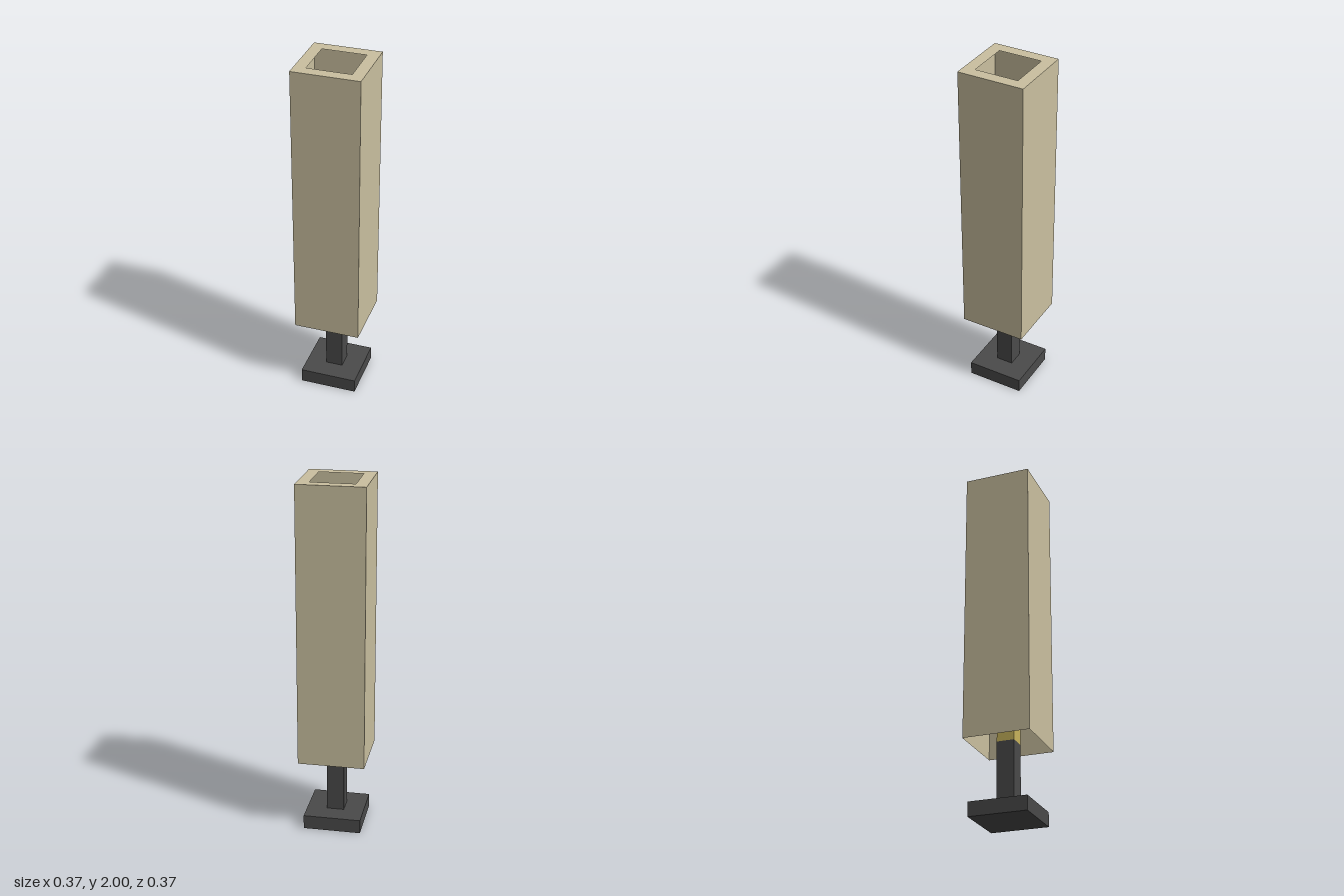
import * as THREE from 'three';

const metal = new THREE.MeshStandardMaterial({ color: 0x4a4a4a });
metal.name = 'darkMetal';
const glow = new THREE.MeshStandardMaterial({ color: 0xc9b45c });
glow.name = 'goldGlow';
const cloth = new THREE.MeshStandardMaterial({ color: 0xcac0a0, side: THREE.DoubleSide });
cloth.name = 'beigeShade';

// Square upright block between two heights
function block(name, width, bottom, top, material) {
  const mesh = new THREE.Mesh(new THREE.BoxGeometry(width, top - bottom, width), material);
  mesh.position.y = (bottom + top) / 2;
  mesh.name = name;
  return mesh;
}

// Square outline centred on the origin
function square(Type, width) {
  const h = width / 2;
  return new Type([[-h, -h], [h, -h], [h, h], [-h, h]].map(([x, y]) => new THREE.Vector2(x, y)));
}

export function createModel() {
  const model = new THREE.Group();
  model.name = 'lamp';
  const shadeWidth = 0.374, shadeBottom = 0.42, shadeTop = 2;

  // Foot, stem and the glowing core inside the shade
  model.add(block('base', 0.325, 0, 0.08, metal));
  model.add(block('stem', 0.098, 0.08, 0.43, metal));
  model.add(block('lightCore', 0.098, 0.43, 1.5, glow));

  // Thin shade, open at the bottom
  const shade = new THREE.Group();
  shade.name = 'shade';
  for (let i = 0; i < 4; i++) {
    const wall = new THREE.Mesh(new THREE.PlaneGeometry(shadeWidth, shadeTop - shadeBottom), cloth);
    const angle = i * Math.PI / 2;
    wall.position.set(Math.sin(angle) * shadeWidth / 2, (shadeTop + shadeBottom) / 2, Math.cos(angle) * shadeWidth / 2);
    wall.rotation.y = angle;
    wall.name = 'shadeWall';
    shade.add(wall);
  }

  // Flat top rim with a square opening
  const outline = square(THREE.Shape, shadeWidth);
  outline.holes.push(square(THREE.Path, 0.244));
  const rim = new THREE.Mesh(new THREE.ShapeGeometry(outline), cloth);
  rim.rotation.x = -Math.PI / 2;
  rim.position.y = shadeTop;
  rim.name = 'shadeRim';
  shade.add(rim);
  model.add(shade);
  return model;
}
